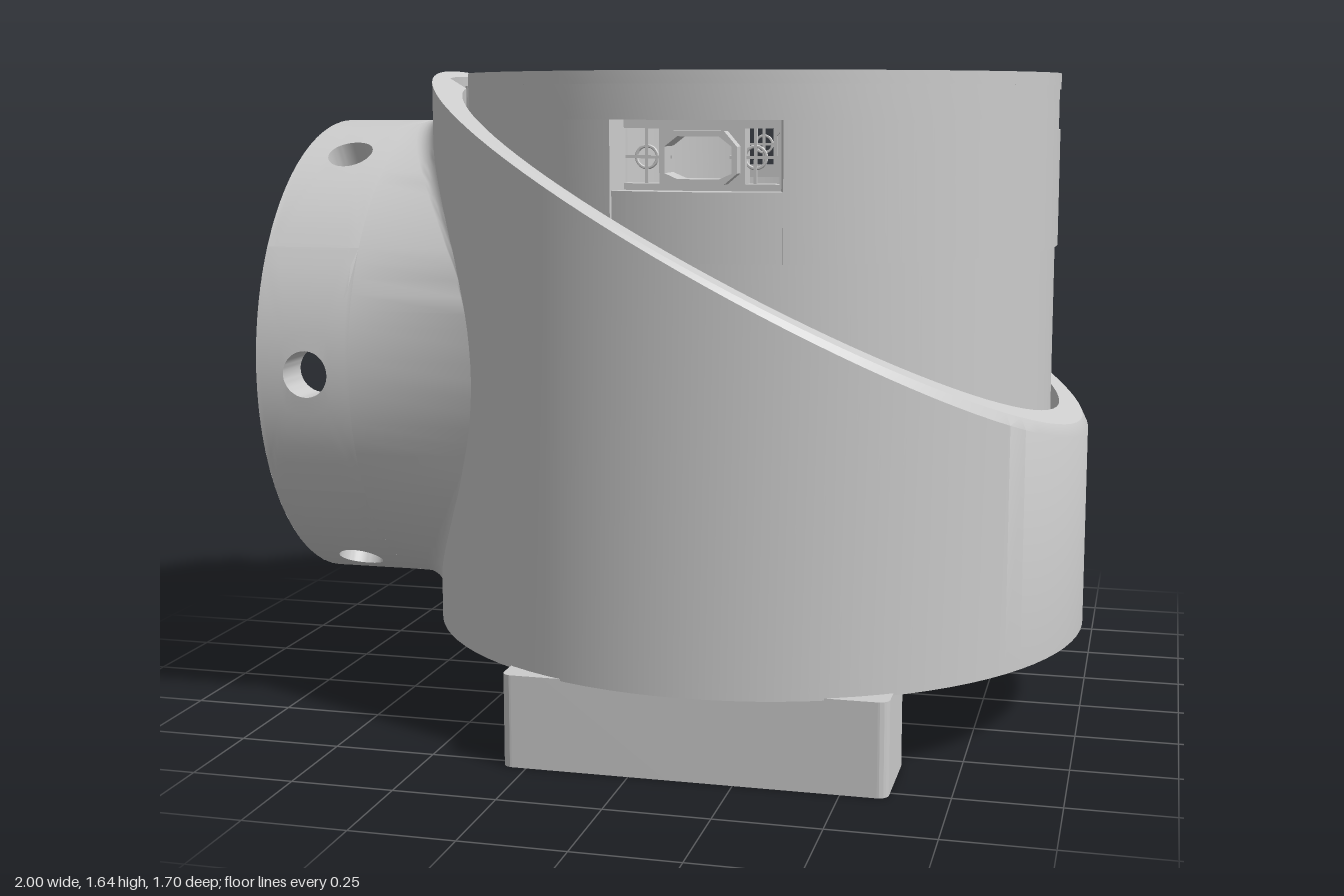
import * as THREE from 'three';
import { toCreasedNormals } from 'three/addons/utils/BufferGeometryUtils.js';

const CX = 0.15, TUBE_Y = 0.895, { PI, sin, cos, sqrt, max, abs, asin } = Math;
const solid = new THREE.MeshStandardMaterial({ color: 0xcccccc });
const shell = new THREE.MeshStandardMaterial({ color: 0xcccccc, side: THREE.DoubleSide });

export function createModel() {
  const model = new THREE.Group();
  const add = (name, geo, mat = solid) => {
    const m = new THREE.Mesh(toCreasedNormals(geo, 0.5), mat);
    m.name = name;
    model.add(m);
    return m;
  };

  // Surface through a grid of points: f(i, j) -> [x, y, z]
  const grid = (nu, nv, f) => {
    const pos = [], idx = [];
    for (let i = 0; i <= nu; i++) for (let j = 0; j <= nv; j++) pos.push(...f(i, j));
    for (let i = 0; i < nu; i++) for (let j = 0; j < nv; j++) {
      const a = i * (nv + 1) + j, b = a + nv + 1;
      idx.push(a, b, a + 1, b, b + 1, a + 1);
    }
    const g = new THREE.BufferGeometry();
    g.setAttribute('position', new THREE.Float32BufferAttribute(pos, 3));
    g.setIndex(idx);
    return g;
  };

  // Horizontal plates: shape drawn in (x, z), extruded from y0 to y1
  const plate = (shape, y0, y1) => new THREE.ExtrudeGeometry(shape, { depth: y1 - y0, bevelEnabled: false, curveSegments: 40 })
    .rotateX(PI / 2).translate(0, y1, 0);
  const circle = (x, z, r, Type = THREE.Path) => new Type().absarc(x, z, r, 0, 2 * PI, false);
  const disc = (r, holes = []) => {
    const s = circle(CX, 0, r, THREE.Shape);
    s.holes.push(...holes);
    return s;
  };
  const poly = (pts, Type = THREE.Path) => new Type(pts.map(p => new THREE.Vector2(p[0], p[1])));
  const around = (r, angle) => [CX + r * cos(angle), r * sin(angle)];
  const sector = (r0, r1, a0, a1, y0, y1) => {
    const s = new THREE.Shape();
    s.absarc(CX, 0, r1, a0, a1, false);
    s.absarc(CX, 0, r0, a1, a0, true);
    return plate(s, y0, y1);
  };

  // Outer housing with a slanted rim and a round opening for the side tube
  const R = 0.85, RI = 0.775, OPEN = 0.48;
  const column = (phi, kind) => {
    const d = phi - PI, notch = abs(d) < 0.175;
    const rim = notch ? 0.822 : RI;
    const top = r => 1.64 - 0.52 * (0.85 + r * cos(phi));
    const bevel = 0.012 * (1 + cos(phi));
    const half = r => sqrt(max(0, OPEN ** 2 - (r * sin(d)) ** 2));
    const ledge = top(RI) - 0.1;
    const upper = [[R, top(R) - bevel], [0.835, top(0.835)], [rim, top(rim)], [rim, ledge], [RI, ledge]];
    if (kind === 'upper') return [[R, TUBE_Y + half(R)], ...upper, [RI, TUBE_Y + half(RI)]];
    if (kind === 'lower') return [[RI, TUBE_Y - half(RI)], [RI, 0.22], [R, 0.22], [R, TUBE_Y - half(R)]];
    return [[RI, 0.22], [R, 0.22], ...upper, [RI, 0.22]];
  };
  const wall = (name, kind, n, phiAt) => add(name, grid(n, column(PI, kind).length - 1, (i, j) => {
    const phi = phiAt(i / n), [r, y] = column(phi, kind)[j];
    return [CX + r * cos(phi), y, r * sin(phi)];
  }), shell);
  const edge = asin(OPEN / RI);
  wall('housingWall', 'full', 72, t => PI + edge + t * (2 * PI - 2 * edge));
  for (const kind of ['upper', 'lower']) {
    wall(kind + 'HousingAroundTube', kind, 64, t => PI + edge * sin((t - 0.5) * PI));
  }

  // Three pins in the rim notch
  for (const z of [-0.04, 0, 0.04]) {
    add('notchPin', new THREE.CylinderGeometry(0.018, 0.018, 0.1, 12).translate(-0.635, 1.55, z));
  }

  // Housing floor: round opening with ears for the bolts
  const ears = [PI / 4, 3 * PI / 4, -3 * PI / 4, -PI / 4, -PI / 2], EAR = 0.636;
  const outline = [];
  for (let i = 0; i < 240; i++) {
    const a = i / 240 * 2 * PI;
    let r = 0.54;
    for (const e of ears) {
      const k = 0.09 ** 2 - (EAR * sin(a - e)) ** 2;
      if (k > 0 && cos(a - e) > 0) r = max(r, EAR * cos(a - e) + sqrt(k));
    }
    outline.push(around(r, a));
  }
  add('housingFloor', plate(disc(RI, [poly(outline)]), 0.22, 0.3));

  // Side tube: six wall patches, each with a radial bolt hole
  const onTube = (x, r, a) => [x, TUBE_Y + r * sin(a), r * cos(a)];
  for (let k = 0; k < 6; k++) {
    add('tubeWall', grid(48, 13, (i, j) => {
      const t = i / 48 * 2 * PI, c = cos(t), s = sin(t), m = max(abs(c), abs(s));
      const r = j < 7 ? 0.615 : 0.515, w = j < 7 ? j / 6 : (13 - j) / 6;
      const x = (1 - w) * 0.1225 * c / m + w * (0.007 + 0.058 * c);
      const a = (1 - w) * PI / 6 * s / m + w * asin(0.058 * s / r);
      return onTube(-0.8775 + x, r, k * PI / 3 + a);
    }), shell);
  }
  add('tubeEnd', new THREE.RingGeometry(0.515, 0.615, 72).rotateY(-PI / 2).translate(-1, TUBE_Y, 0), shell);

  // Fillet from the tube into the housing, and the stepped bore
  add('tubeFillet', grid(96, 8, (i, j) => {
    const a = i / 96 * 2 * PI, f = 0.065 * sin(a) ** 2;
    if (j === 0) return onTube(-0.755, 0.615, a);
    const q = (j - 1) / 7 * PI / 2, r = 0.615 + f * (1 - cos(q));
    const end = CX + 0.005 - sqrt(R * R - (r * cos(a)) ** 2);
    return onTube(end - f * (1 - sin(q)), r, a);
  }), shell);
  add('tubeBore', grid(96, 3, (i, j) => {
    const a = i / 96 * 2 * PI, r = j < 2 ? 0.515 : OPEN;
    const x = [-0.755, -0.72, -0.72, CX - sqrt(RI * RI - (r * cos(a)) ** 2)][j];
    return onTube(x, r, a);
  }), shell);

  // Motor body: lower wall, raised below the two side windows
  const W0 = 1.304, W1 = PI - W0;
  add('bodyWall', sector(0.69, 0.753, 0, 2 * PI, 0.3, 1.2));
  for (const s of [0, PI]) add('windowSill', sector(0.69, 0.753, W0 + s, W1 + s, 1.2, 1.36));

  // Cap wall with the side windows and the port slot left open
  const P0 = -0.246, P1 = 0.046;
  for (const [a0, a1, y0, y1] of [
    [-W0, P0, 1.2, 1.52], [P0, P1, 1.2, 1.49], [P1, W0, 1.2, 1.52], [W1, 2 * PI - W1, 1.2, 1.52],
    [P1, 2 * PI + P0, 1.52, 1.6], [P0, P1, 1.59, 1.6],
  ]) add('capWall', sector(0.69, 0.76, a0, a1, y0, y1));
  add('portBack', new THREE.BoxGeometry(0.03, 0.14, 0.26).translate(0.845, 1.53, -0.075));
  add('portSocket', new THREE.BoxGeometry(0.04, 0.045, 0.17).translate(0.865, 1.53, -0.075));

  // Connector panels in both windows
  const rect = (x0, x1, y0, y1, Type) => poly([[x0, y0], [x1, y0], [x1, y1], [x0, y1]], Type);
  const octagon = (g, Type) => poly([[0.06 + g, 1.4], [0.09 + g, 1.375 + g], [0.21 - g, 1.375 + g], [0.24 - g, 1.4],
    [0.24 - g, 1.46], [0.21 - g, 1.495 - g], [0.09 + g, 1.495 - g], [0.06 + g, 1.46]], Type);
  for (const side of [1, -1]) {
    const flat = (name, shape, z0, z1) => add(name, new THREE.ExtrudeGeometry(shape, { depth: z1 - z0, bevelEnabled: false })
      .translate(0, 0, side > 0 ? z0 : -z1));
    const panel = rect(-0.07, 0.37, 1.34, 1.54, THREE.Shape);
    panel.holes.push(rect(-0.04, 0.05, 1.375, 1.5), octagon(0), rect(0.25, 0.33, 1.375, 1.5));
    flat('connectorPanel', panel, 0.62, 0.672);
    const socket = octagon(0, THREE.Shape);
    socket.holes.push(octagon(0.012));
    flat('connectorSocket', socket, 0.63, 0.71);
    for (const x of [0.015, 0.27]) {
      add('contactRing', new THREE.TorusGeometry(0.025, 0.004, 6, 20).translate(x, 1.435, side * 0.65));
      add('contactCross', new THREE.BoxGeometry(0.12, 0.007, 0.01).translate(x, 1.435, side * 0.65));
      add('contactCross', new THREE.BoxGeometry(0.007, 0.15, 0.01).translate(x, 1.435, side * 0.65));
    }
  }

  // Top plate: screw pockets, through holes and a row of vent slots
  const through = () => ears.slice(0, 4).map(a => circle(...around(EAR, a), 0.042));
  const screws = [1, 3, 5, -1, -3, -5].map(k => around(0.659, k * PI / 8));
  const slots = [...Array(9)].map((_, i) => {
    const z = (i - 4) * 0.0575, p = new THREE.Path();
    p.absarc(-0.195, z, 0.022, -PI / 2, PI / 2, false);
    p.absarc(-0.285, z, 0.022, PI / 2, PI * 1.5, false);
    return p;
  });
  add('topPlate', plate(disc(0.76, [...through(), ...screws.map(p => circle(...p, 0.092)), ...slots]), 1.6, 1.63));
  add('topPlateBacking', plate(disc(0.752, through()), 1.56, 1.599));
  for (const [x, z] of screws) {
    const head = circle(x, z, 0.083, THREE.Shape);
    head.holes.push(poly([...Array(6)].map((_, i) => [x + 0.035 * sin(i * PI / 3), z + 0.035 * cos(i * PI / 3)])));
    add('screwHead', plate(head, 1.599, 1.624));
  }

  // Underside: body base and the output flange with a recessed hub
  add('bodyBase', plate(disc(0.74, ears.map(a => circle(...around(EAR, a), 0.042))), 0.29, 0.34));
  const bolts = [...Array(6)].map((_, i) => circle(...around(0.38, -PI / 4 + i * PI / 3), 0.035));
  add('outputFlange', plate(disc(0.48, [circle(CX, 0, 0.26), ...bolts]), 0.205, 0.289));
  add('outputHub', plate(disc(0.26, [circle(CX, 0, 0.085)]), 0.25, 0.289));

  // Foot bar with two vertical holes
  const [x0, x1, z0, z1, c] = [-0.31, 0.61, 0.54, 0.79, 0.025];
  const bar = new THREE.Shape();
  bar.absarc(x1 - c, z0 + c, c, -PI / 2, 0, false);
  bar.absarc(x1 - c, z1 - c, c, 0, PI / 2, false);
  bar.absarc(x0 + c, z1 - c, c, PI / 2, PI, false);
  bar.absarc(x0 + c, z0 + c, c, PI, PI * 1.5, false);
  bar.holes.push(circle(CX - 0.34, 0.665, 0.085), circle(CX + 0.34, 0.665, 0.085));
  add('footBar', plate(bar, 0, 0.225));

  return model;
}
